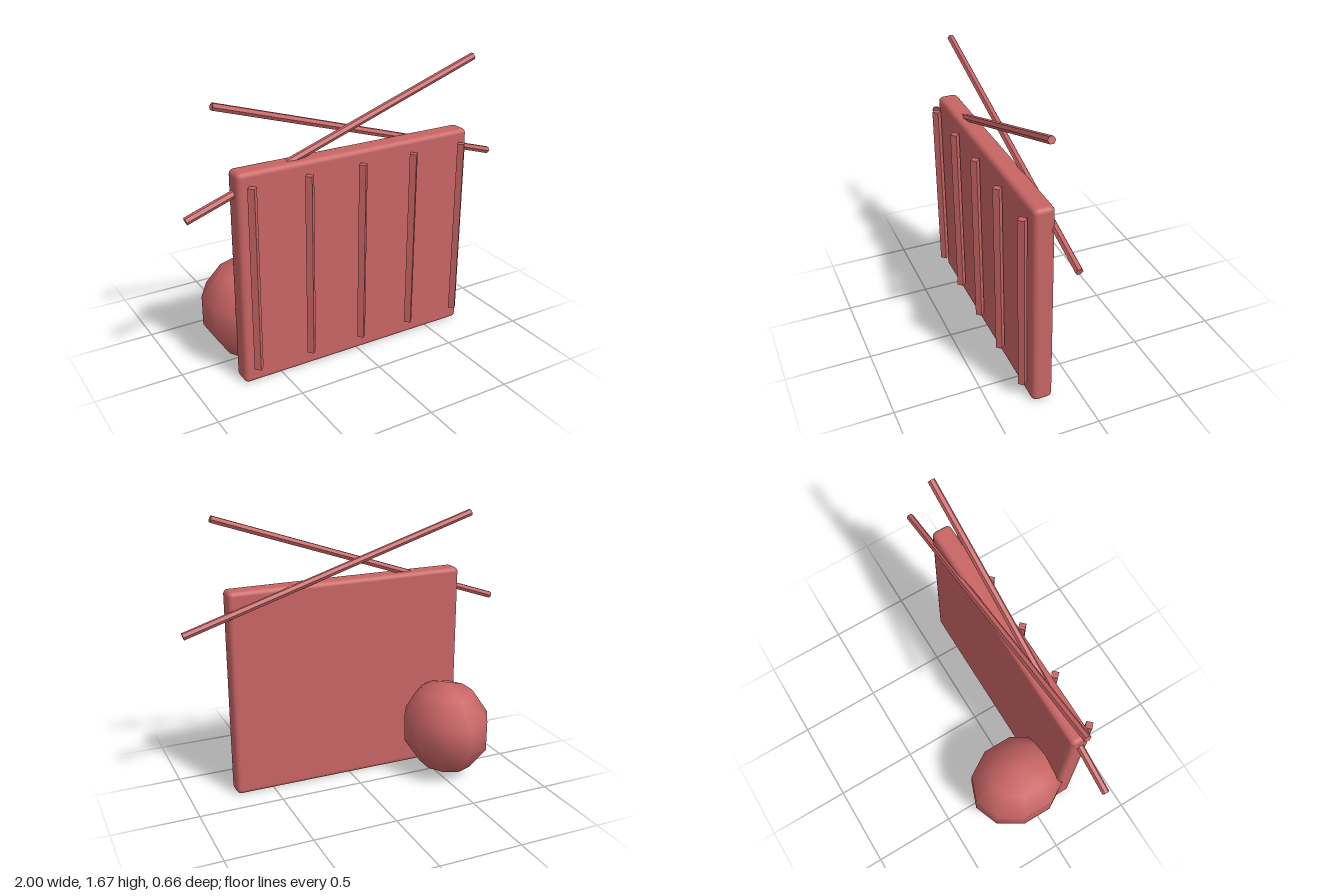
import * as THREE from 'three';
import { RoundedBoxGeometry } from 'three/addons/geometries/RoundedBoxGeometry.js';

export function createModel() {
  const group = new THREE.Group();
  const red = new THREE.MeshStandardMaterial({ color: 0xc86464 });
  red.name = 'dusty red';

  const add = (name, geometry, x, y, z) => {
    const mesh = new THREE.Mesh(geometry, red);
    mesh.name = name;
    mesh.position.set(x, y, z);
    group.add(mesh);
    return mesh;
  };

  // Upright slab with softened edges
  add('panel', new RoundedBoxGeometry(1.46, 1.245, 0.12, 2, 0.028), 0, 0.6225, 0.211);

  // Diamond-section ribs along the front
  const ribGeometry = new THREE.CylinderGeometry(0.027, 0.027, 1.07, 4).toNonIndexed();
  ribGeometry.computeVertexNormals();
  for (let i = -2; i <= 2; i++) add('rib', ribGeometry, i * 0.332, 0.64, 0.305);

  // Two crossed hexagonal poles
  const addPole = (name, x0, y0, x1, y1, z) => {
    const dx = x1 - x0, dy = y1 - y0;
    const geometry = new THREE.CylinderGeometry(0.0215, 0.0215, Math.hypot(dx, dy), 6).toNonIndexed();
    geometry.computeVertexNormals();
    const pole = add(name, geometry, (x0 + x1) / 2, (y0 + y1) / 2, z);
    pole.rotation.z = Math.atan2(dy, dx) - Math.PI / 2;
  };
  addPole('frontPole', -0.994, 1.028, 0.79, 1.65, 0.211);
  addPole('backPole', -0.794, 1.58, 0.994, 1.03, 0.15);

  // Coarse rounded ball behind the lower corner
  const ball = add('ball', new THREE.SphereGeometry(1, 10, 5, Math.PI / 2), -0.565, 0.295, -0.035);
  ball.scale.set(0.265, 0.29, 0.313);

  return group;
}
